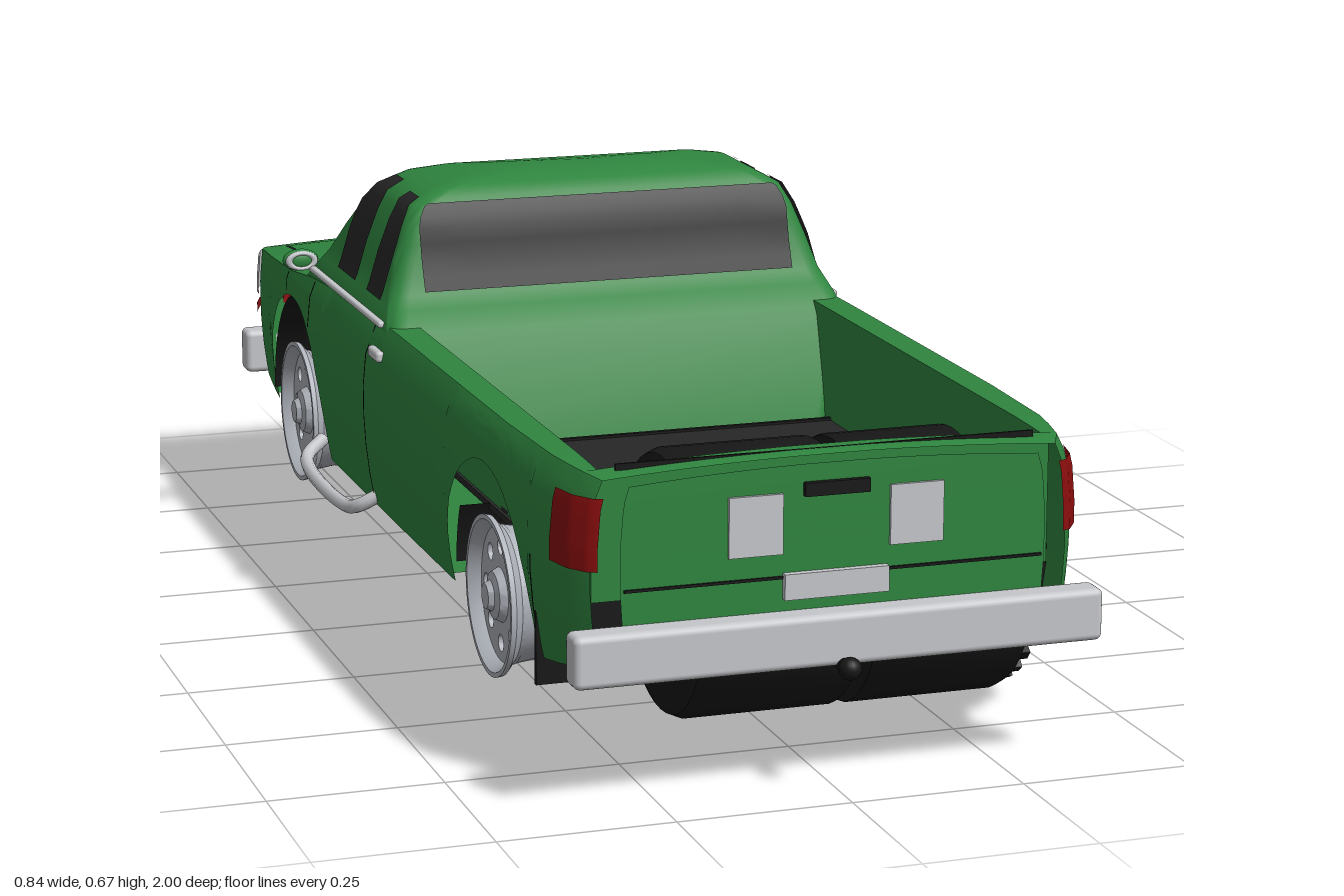
import * as THREE from 'three';
import { toCreasedNormals } from 'three/addons/utils/BufferGeometryUtils.js';
import { RoundedBoxGeometry } from 'three/addons/geometries/RoundedBoxGeometry.js';

const paint = (name, color) => new THREE.MeshStandardMaterial({ name, color, side: THREE.DoubleSide });
const green = paint('green paint', 0x2f853f), glass = paint('dark glass', 0x272727);
const rubber = paint('rubber', 0x171717), silver = paint('silver', 0xc6c7cb);
const alloy = paint('alloy', 0xaeb2ba), red = paint('red lamp', 0x8c0e0e);

// linear lookup in [[t, v], ...]
const curve = keys => t => {
  if (t <= keys[0][0]) return keys[0][1];
  for (let i = 1; i < keys.length; i++) {
    const [a, va] = keys[i - 1], [b, vb] = keys[i];
    if (t <= b) return va + (vb - va) * (t - a) / (b - a);
  }
  return keys[keys.length - 1][1];
};

// body rules: plan half-width, side bulge, top edge and lower edge
const plan = curve([[-.96, .31], [-.953, .335], [-.94, .352], [-.9, .366], [-.8, .376], [-.6, .388], [0, .39], [.6, .388], [.8, .38], [.88, .362], [.91, .342], [.925, .305]]);
const bulge = curve([[.165, .955], [.2, .972], [.25, .99], [.3, 1], [.36, 1], [.42, .985], [.445, .96], [.46, .935]]);
const topY = curve([[-.96, .392], [-.94, .407], [-.85, .418], [-.63, .431], [-.5, .445], [-.3, .455], [0, .46], [.8, .46], [.9, .457], [.925, .445]]);
const sillY = curve([[-.96, .205], [-.85, .178], [-.65, .165], [.65, .165], [.8, .175], [.925, .198]]);
const axles = [-.585, .555], WY = .195, ARCH = .2, FLOOR = .285;
const bottomY = z => {
  const c = axles.find(a => Math.abs(z - a) < ARCH);
  return c === undefined ? sillY(z) : WY + Math.sqrt(ARCH * ARCH - (z - c) ** 2);
};
const sideX = (z, y) => plan(z) * bulge(y);
const hoodY = (x, z) => topY(z) + .012 * (1 - (x / sideX(z, topY(z))) ** 2);

// cab rules by height
const cabRear = curve([[.27, .05], [.44, 0], [.465, -.02], [.5, -.06], [.55, -.08], [.6, -.093], [.63, -.107], [.65, -.122], [.66, -.14], [.667, -.18]]);
const cabFront = curve([[.27, -.5], [.44, -.555], [.465, -.52], [.5, -.475], [.55, -.425], [.6, -.375], [.63, -.343], [.65, -.318], [.66, -.29], [.667, -.24]]);
const cabW = curve([[.27, .33], [.44, .372], [.465, .366], [.5, .352], [.55, .337], [.6, .318], [.63, .302], [.65, .266], [.66, .22], [.667, .15]]);

// surface through rows of [x, y, z]
function surface(rows, crease = .6) {
  const n = rows[0].length, index = [];
  for (let i = 0; i < rows.length - 1; i++) for (let j = 0; j < n - 1; j++) {
    const a = i * n + j, b = a + n;
    index.push(a, a + 1, b, b, a + 1, b + 1);
  }
  const g = new THREE.BufferGeometry();
  g.setAttribute('position', new THREE.Float32BufferAttribute(rows.flat(2), 3));
  g.setIndex(index);
  return toCreasedNormals(g, crease);
}
const steps = (a, b, n) => Array.from({ length: n + 1 }, (_, i) => a + (b - a) * i / n);
const patch = (u, v, f) => surface(u.map(a => v.map(b => f(a, b))));

export function createModel() {
  const root = new THREE.Group();
  const add = (name, geo, mat, x = 0, y = 0, z = 0) => {
    const m = new THREE.Mesh(geo, mat);
    m.name = name; m.position.set(x, y, z); root.add(m);
    return m;
  };
  const pair = (name, geo, mat, x = 0, y = 0, z = 0) => {
    add(name + 'Left', geo, mat, x, y, z);
    add(name + 'Right', geo, mat, -x, y, z).scale.x = -1;
  };
  const box = (name, mat, x0, x1, y0, y1, z0, z1, put = add) =>
    put(name, new THREE.BoxGeometry(x1 - x0, y1 - y0, z1 - z0), mat, (x0 + x1) / 2, (y0 + y1) / 2, (z0 + z1) / 2);
  const sidePatch = (name, mat, z0, z1, y0, y1, off = .003) =>
    pair(name, patch(steps(z0, z1, 14), steps(y0, y1, 6), (z, y) => {
      const h = Math.min(y, topY(z) - .002);
      return [sideX(z, h) + off, h, z + (z > .8 ? off : z < -.85 ? -off : 0)];
    }), mat);
  const topPatch = (name, mat, x0, x1, z0, z1) =>
    add(name, patch(steps(z0, z1, 8), steps(x1, x0, 8), (z, x) => [x, hoodY(x, z) + .003, z]), mat);

  // body stations, denser round the wheel arches and rounded ends
  const stations = [...steps(-.96, .925, 40), -.953, -.94, -.9, -.04, .875, .88, .91];
  for (const c of axles) {
    for (let k = 0; k <= 28; k++) stations.push(c - ARCH * .9999 * Math.cos(Math.PI * k / 28));
    stations.push(c - ARCH - .0005, c + ARCH + .0005);
  }
  stations.sort((a, b) => a - b);
  const between = (a, b) => stations.filter(z => z >= a && z <= b);
  const flank = z => steps(bottomY(z), topY(z), 12).map(y => [sideX(z, y), y, z]);
  const whole = z => {
    const e = sideX(z, topY(z));
    const half = [...flank(z), ...steps(e, 0, 6).slice(1, -1).map(x => [x, hoodY(x, z), z])];
    return [...half, ...half.slice().reverse().map(([x, y, w]) => [-x, y, w])];
  };
  add('frontBody', surface(between(-.96, -.04).map(whole)), green);
  add('tailgate', surface(between(.875, .925).map(whole)), green);
  pair('bedSide', surface(between(-.04, .875).map(z => [...flank(z), [.32, topY(z), z], [.32, FLOOR - .01, z]])), green);
  for (const [name, z] of [['nosePanel', -.96], ['tailPanel', .925]]) {
    const s = whole(z), n = s.length / 2;
    add(name, surface([s.slice(0, n), s.slice(n).reverse()]), green);
  }
  box('tailgateInner', green, -.33, .33, FLOOR - .01, .455, .868, .876);
  [[-.96, -.786], [-.384, .354], [.756, .925]].forEach(([a, b]) =>
    add('underside', surface(between(a, b).map(z => [-1, 1].map(s => [s * sideX(z, sillY(z)), sillY(z), z]))), green));

  // wheel wells and bed floor
  const well = (c, a, b) => add('wheelWell', patch(steps(a, b, 20), [-.37, .37],
    (t, x) => [x, WY + ARCH * Math.sin(t), c + ARCH * Math.cos(t)]), rubber);
  well(axles[0], 0, Math.PI);
  well(axles[1], 0, .467);
  well(axles[1], Math.PI - .467, Math.PI);
  box('bedFloor', glass, -.325, .325, FLOOR - .01, FLOOR, .03, .872);
  box('axleCover', glass, -.32, -.13, FLOOR - .02, FLOOR + .006, .41, .6);
  for (const z of [.06, .78]) box('floorRib', rubber, -.32, .32, FLOOR, FLOOR + .004, z, z + .008);

  // cab: rounded-rectangle rings stacked in height
  const ring = y => {
    const w = cabW(y), a = cabFront(y), b = cabRear(y), r = .028, pts = [];
    [[w - r, b - r], [-w + r, b - r], [-w + r, a + r], [w - r, a + r]].forEach(([x, z], q) => {
      for (let k = 0; k <= 5; k++) {
        const t = (q + k / 5) * Math.PI / 2;
        pts.push([x + r * Math.cos(t), y, z + r * Math.sin(t)]);
      }
    });
    return [...pts, pts[0]];
  };
  const levels = [.27, .44, .452, .465, .482, .5, .525, .55, .575, .6, .615, .63, .64, .65, .655, .66, .667];
  const rings = levels.map(ring);
  add('cab', surface([...rings, rings[rings.length - 1].map(() => [0, .67, -.21])], .7), green);

  // windows
  const glassY = (a, b) => levels.filter(y => y > a && y < b).concat(a, b).sort((p, q) => p - q);
  add('rearWindow', patch(glassY(.505, .634), steps(-1, 1, 8), (y, t) => [t * Math.min(.3, cabW(y) - .014), y, cabRear(y) + .004]), glass);
  add('windshield', patch(glassY(.482, .632), steps(-1, 1, 8), (y, t) => [t * Math.min(.315, cabW(y) - .018), y, cabFront(y) - .004]), glass);
  pair('rearSideWindow', patch(glassY(.488, .64), steps(0, 1, 4), (y, t) => [cabW(y) + .004, y, Math.min(-.1, cabRear(y) - .018) * (1 - t) - .185 * t]), glass);
  pair('doorWindow', patch(glassY(.488, .645), steps(0, 1, 4), (y, t) => [cabW(y) + .004, y, -.255 * (1 - t) + Math.max(-.365, cabFront(y) + .022) * t]), glass);
  pair('wiper', new THREE.TubeGeometry(new THREE.LineCurve3(new THREE.Vector3(0, 0, 0), new THREE.Vector3(.19, .052, .06)), 1, .004, 6), rubber, 0, -9, 0);
  root.children.splice(-2).forEach((m, i) => { m.scale.x = 1; m.position.set([-.21, .04][i], .466, -.537); root.add(m); });

  // hood seams and cowl
  topPatch('cowl', rubber, -.31, .31, -.552, -.53);
  topPatch('hoodFrontSeam', rubber, -.325, .325, -.875, -.868);
  topPatch('hoodCrossSeam', rubber, -.36, .36, -.63, -.625);
  topPatch('hoodSeamLeft', rubber, .321, .327, -.87, -.55);
  topPatch('hoodSeamRight', rubber, -.327, -.321, -.87, -.55);

  // side seams, trim, handles and lamps
  sidePatch('doorRearSeam', rubber, -.094, -.089, .168, .455, .002);
  sidePatch('doorFrontSeam', rubber, -.464, -.459, .37, .445, .002);
  sidePatch('fenderSeam', rubber, -.63, -.625, .398, .43, .002);
  sidePatch('bedSeam', rubber, .768, .773, .18, .32, .002);
  pair('beltTrim', new RoundedBoxGeometry(.012, .01, .45, 2, .004), silver, .37, .459, -.28);
  pair('doorHandle', new RoundedBoxGeometry(.014, .018, .055, 2, .006), silver, .386, .42, -.033);
  sidePatch('tailLamp', red, .835, .915, .33, .43, .005);
  sidePatch('headlamp', silver, -.96, -.875, .338, .402, .005);
  sidePatch('frontMarker', red, -.96, -.89, .302, .318, .005);
  box('headlampFace', silver, .22, .312, .338, .387, -.966, -.958, pair);
  box('markerFace', red, .23, .312, .302, .318, -.966, -.958, pair);

  // grille
  box('grille', rubber, -.205, .205, .275, .385, -.965, -.957);
  for (let i = 0; i < 4; i++) box('grilleBar', silver, -.2, .2, .292 + i * .026, .299 + i * .026, -.97, -.963);
  box('frontPlate', silver, -.07, .07, .258, .285, -.975, -.966);

  // tailgate details
  box('tailPad', silver, .077, .154, .335, .419, .923, .93, pair);
  box('tailHandle', rubber, -.047, .046, .413, .432, .923, .934);
  box('rearPlate', silver, -.076, .074, .272, .308, .923, .936);
  box('tailgateSeam', rubber, -.3, .3, .3, .304, .922, .928);
  box('tailgateTopSeam', rubber, -.3, .3, .459, .475 - .007, .886, .89);

  // bumpers and hitch
  for (const [name, z] of [['frontBumper', -.977], ['rearBumper', .94]])
    add(name, new RoundedBoxGeometry(.76, .074, .046, 3, .01), silver, 0, .218, z);
  add('hitchBar', new THREE.CylinderGeometry(.01, .01, .06, 16).rotateX(Math.PI / 2), rubber, 0, .183, .955);
  add('hitchBall', new THREE.SphereGeometry(.016, 16, 12), rubber, 0, .184, .984);

  // mirrors, steps and mud flaps
  pair('mirror', new THREE.SphereGeometry(1, 20, 14).scale(.03, .018, .014), green, .388, .473, -.507);
  pair('mirrorRim', new THREE.TorusGeometry(.021, .006, 10, 24).scale(1, .6, 1), silver, .388, .473, -.498);
  const rail = new THREE.CatmullRomCurve3([[.365, .182, -.462], [.395, .163, -.445], [.405, .153, -.41], [.405, .153, -.14], [.395, .163, -.108], [.365, .182, -.092]].map(p => new THREE.Vector3(...p)), false, 'centripetal');
  pair('sideStep', new THREE.TubeGeometry(rail, 40, .011, 10), silver);
  box('mudFlap', rubber, .253, .376, .134, .27, .766, .774, pair);

  // wheels
  const lathe = pts => toCreasedNormals(new THREE.LatheGeometry(pts.map(p => new THREE.Vector2(...p)), 48).rotateZ(-Math.PI / 2), .6);
  const tire = lathe([[.116, -.122], [.18, -.122], [.193, -.12], [.195, -.115], [.195, .1], [.188, .116], [.17, .125], [.14, .127], [.116, .12], [.116, -.122]]);
  const barrel = lathe([[.113, -.055], [.115, -.048], [.1, -.035], [.095, 0], [.1, .035], [.115, .048], [.116, .056], [.109, .056], [.096, .036], [.09, 0], [.104, -.05], [.113, -.055]]);
  const disc = new THREE.Shape().absarc(0, 0, .1, 0, Math.PI * 2);
  for (let i = 0; i < 8; i++) {
    const t = i * Math.PI / 4;
    disc.holes.push(new THREE.Path().absarc(.071 * Math.cos(t), .071 * Math.sin(t), .0125, 0, Math.PI * 2, true));
  }
  const face = new THREE.ExtrudeGeometry(disc, { depth: .008, bevelEnabled: false, curveSegments: 24 }).rotateY(Math.PI / 2);
  const hub = lathe([[.04, 0], [.034, .012], [.022, .016], [.018, .024], [0, .024]]);
  for (const z of axles) {
    add('tireLeft', tire, rubber, .255, WY, z);
    add('tireRight', tire, rubber, -.008, WY, z).scale.x = -1;
    pair('rimBarrel', barrel, alloy, .324, WY + .005, z);
    pair('rimFace', face, alloy, .354, WY + .005, z);
    pair('rimHub', hub, alloy, .361, WY + .005, z);
    for (let i = 0; i < 28; i++) {
      const t = i * Math.PI / 14;
      add('treadLug', new THREE.BoxGeometry(.014, .02, .016), rubber, .38, WY + .173 * Math.sin(t), z + .173 * Math.cos(t)).rotation.x = Math.PI / 2 - t;
    }
  }
  return root;
}
